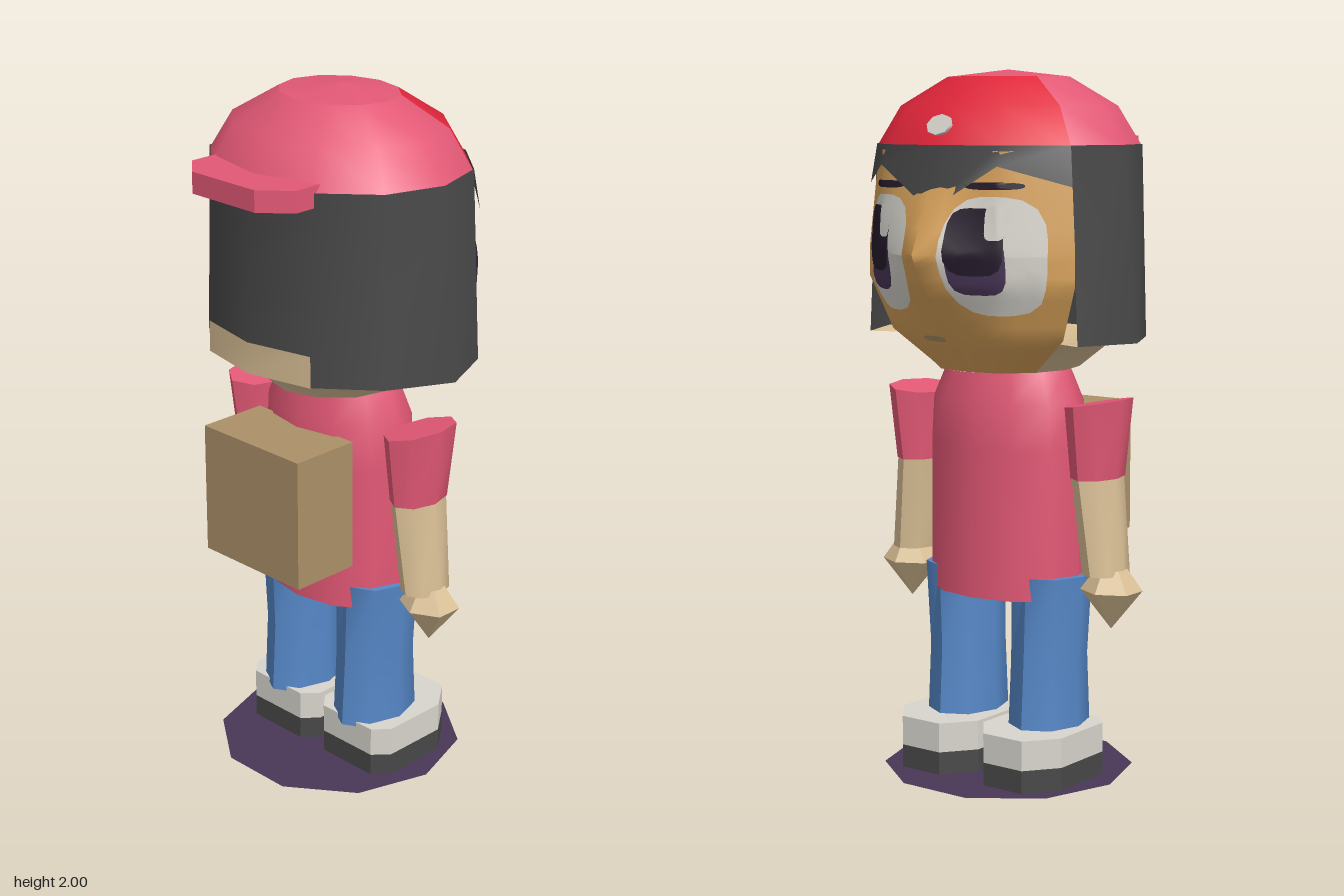
import * as THREE from 'three';
import { toCreasedNormals } from 'three/addons/utils/BufferGeometryUtils.js';

const mat = (name, color, side = THREE.FrontSide) => {
  const m = new THREE.MeshStandardMaterial({ color, side });
  m.name = name;
  return m;
};

// Skin over rows of points, bottom to top, columns anticlockwise seen from above
function loft(rows, closed = true, crease = 0.9) {
  const n = rows[0].length, index = [];
  for (let i = 0; i < rows.length - 1; i++) {
    for (let j = 0; j < (closed ? n : n - 1); j++) {
      const k = (j + 1) % n, a = i * n, b = a + n;
      index.push(a + j, a + k, b + k, a + j, b + k, b + j);
    }
  }
  const g = new THREE.BufferGeometry();
  g.setAttribute('position', new THREE.Float32BufferAttribute(rows.flat(2), 3));
  g.setIndex(index);
  return toCreasedNormals(g, crease);
}

const ring = (y, rx, rz, cx = 0, n = 12, cz = 0) =>
  Array.from({ length: n }, (_, i) => {
    const a = (i / n) * Math.PI * 2;
    return [cx + rx * Math.sin(a), y, cz + rz * Math.cos(a)];
  });

// Outline in x,z extruded upwards from y
function slab(points, y, height) {
  const shape = new THREE.Shape(points.map(([x, z]) => new THREE.Vector2(x, -z)));
  const g = new THREE.ExtrudeGeometry(shape, { depth: height, bevelEnabled: false });
  return g.rotateX(-Math.PI / 2).translate(0, y, 0);
}

// Face cross-sections: y, then [x, z] at nose line, cheek and temple
const FACE = [
  [1.17, [0, -0.2], [0.1, -0.18], [0.175, -0.105]],
  [1.27, [0, -0.28], [0.17, -0.25], [0.3, -0.15]],
  [1.42, [0, -0.392], [0.21, -0.3], [0.36, -0.18]],
  [1.505, [0, -0.428], [0.21, -0.31], [0.36, -0.18]],
  [1.78, [0, -0.3], [0.2, -0.3], [0.335, -0.165]],
];
const mix = THREE.MathUtils.lerp;
function faceColumns(y) {
  let i = 0;
  while (i < FACE.length - 2 && y > FACE[i + 1][0]) i++;
  const t = (y - FACE[i][0]) / (FACE[i + 1][0] - FACE[i][0]);
  return [1, 2, 3].map((c) => [0, 1].map((k) => mix(FACE[i][c][k], FACE[i + 1][c][k], t)));
}
function faceZ(x, y) {
  const c = faceColumns(y), ax = Math.abs(x), s = ax < c[1][0] ? 0 : 1;
  return mix(c[s][1], c[s + 1][1], (ax - c[s][0]) / (c[s + 1][0] - c[s][0]));
}
// Rounded patch lying on the face; power > 2 makes it squarer
function facePatch(cx, cy, rx, ry, lift, power = 3) {
  const g = new THREE.RingGeometry(0.001, 1, 24, 8), p = g.attributes.position;
  for (let i = 0; i < p.count; i++) {
    const u = p.getX(i), v = p.getY(i), r = Math.hypot(u, v);
    const k = r / Math.pow(Math.abs(u) ** power + Math.abs(v) ** power, 1 / power);
    const x = cx - u * k * rx, y = cy + v * k * ry;
    p.setXYZ(i, x, y, faceZ(x, y) - lift);
  }
  g.computeVertexNormals();
  return g;
}

export function createModel() {
  const pink = mat('pink cloth', 0xe25875, THREE.DoubleSide);
  const red = mat('red cap panel', 0xe0263a);
  const dark = mat('dark hair', 0x484848, THREE.DoubleSide);
  const tan = mat('tan face', 0xd8a25a);
  const skin = mat('beige skin', 0xdac096, THREE.DoubleSide);
  const brown = mat('brown pack', 0xac9068);
  const white = mat('off white', 0xd8d5cd);
  const blue = mat('blue denim', 0x5688c8);
  const purple = mat('purple', 0x4a3658, THREE.DoubleSide);
  const black = mat('pupil black', 0x261c2c);

  const model = new THREE.Group();
  const add = (name, geometry, material) => {
    const m = new THREE.Mesh(geometry, material);
    m.name = name;
    model.add(m);
    return m;
  };

  // Ground disc
  add('groundDisc', new THREE.CircleGeometry(0.36, 10).rotateX(-Math.PI / 2).translate(0, 0.004, 0), purple);

  // Torso and backpack
  add('shirt', loft([ring(0.525, 0, 0), ring(0.525, 0.245, 0.172), ring(0.95, 0.243, 0.172),
    ring(1.08, 0.235, 0.168), ring(1.17, 0.195, 0.138), ring(1.17, 0, 0)]), pink);
  add('backpack', new THREE.BoxGeometry(0.375, 0.38, 0.21).translate(0, 0.86, 0.24), brown);

  for (const s of [1, -1]) {
    const side = s > 0 ? 'left' : 'right';
    // Legs and shoes
    add(side + 'Leg', loft([ring(0.14, 0, 0, s * 0.147, 8), ring(0.14, 0.105, 0.135, s * 0.147, 8),
      ring(0.35, 0.1, 0.123, s * 0.147, 8), ring(0.59, 0.11, 0.124, s * 0.155, 8),
      ring(0.59, 0, 0, s * 0.155, 8)]), blue);
    const foot = [[0.01, 0.07], [0.05, 0.115], [0.245, 0.115], [0.285, 0.07],
      [0.285, -0.13], [0.215, -0.222], [0.08, -0.222], [0.01, -0.13]].map(([x, z]) => [s * x, z]);
    add(side + 'Sole', slab(foot, 0, 0.07), dark);
    add(side + 'Shoe', slab(foot, 0.07, 0.085), white);

    // Sleeve with a tilted top, forearm, hand
    const top = ring(1.088, 0.077, 0.125, s * 0.315, 8);
    const cap = ring(1.088, 0, 0, s * 0.315, 8);
    top.forEach((p) => { p[1] += (s * p[0] - 0.315) * 0.16; });
    add(side + 'Sleeve', loft([ring(0.88, 0, 0, s * 0.312, 8),
      ring(0.88, 0.064, 0.096, s * 0.312, 8), top, cap]), pink);
    add(side + 'Forearm', loft([ring(0.61, 0, 0, s * 0.342, 8), ring(0.61, 0.06, 0.078, s * 0.342, 8),
      ring(0.885, 0.061, 0.094, s * 0.312, 8)]), skin);
    add(side + 'Hand', loft([ring(0.455, 0, 0, s * 0.36, 6), ring(0.565, 0.09, 0.08, s * 0.36, 6),
      ring(0.625, 0.045, 0.045, s * 0.36, 6), ring(0.625, 0, 0, s * 0.36, 6)], true, 0.3), skin);
  }

  // Hair: long sides and back, short pointed fringe
  const hairTop = (k) => [0.39 * Math.sin(k * Math.PI / 6), 1.795, 0.34 * Math.cos(k * Math.PI / 6)];
  const hem = [[0, 0.345], [0.2, 0.302], [0.35, 0.178], [0.44, 0], [0.365, -0.175]];
  const back = [-4, -3, -2, -1, 0, 1, 2, 3, 4];
  const hairHem = (k) => [Math.sign(k) * hem[Math.abs(k)][0], 1.26, hem[Math.abs(k)][1]];
  add('hair', loft([back.map(hairHem), back.map(hairTop)], false), dark);
  add('fringe', loft([
    [[0.352, 1.685, -0.182], [0.2, 1.74, -0.314], [0, 1.62, -0.352], [-0.2, 1.74, -0.314], [-0.352, 1.685, -0.182]],
    [4, 5, 6, 7, 8].map(hairTop)], false), dark);

  // Nape, jaw underside and neck
  const nape = [-1, 0, 1].map(hairHem);
  add('nape', loft([0, 0.09].map((h) => nape.map(([x, y, z]) => [x, y + h, z + 0.005])), false), skin);
  const around = (y, rx, rz) => back.map((k) => [rx * Math.sin(k * Math.PI / 6), y, rz * Math.cos(k * Math.PI / 6)]);
  add('jaw', loft([around(1.17, 0.2, 0.21), around(1.26, 0.32, 0.29), back.map(hairHem)], false), skin);
  add('neck', loft([ring(1.17, 0, 0), ring(1.17, 0.2, 0.205)]), skin);

  // Face
  const ys = [];
  for (let i = 0; i < FACE.length - 1; i++) {
    for (let t = 0; t < 4; t++) ys.push(mix(FACE[i][0], FACE[i + 1][0], t / 4));
  }
  ys.push(1.78);
  const faceRows = ys.map((y) => {
    const c = faceColumns(y), row = [];
    for (let u = -8; u <= 8; u++) {
      const a = Math.abs(u) / 4, i = Math.min(1, Math.floor(a));
      row.push([-Math.sign(u) * mix(c[i][0], c[i + 1][0], a - i), y, mix(c[i][1], c[i + 1][1], a - i)]);
    }
    return row;
  });
  add('face', loft(faceRows, false), tan);

  // Eyes (both look the same way), brows and mouth
  for (const [side, s] of [['left', 1], ['right', -1]]) {
    const x = s * 0.183;
    add(side + 'EyeWhite', facePatch(x, 1.5, 0.124, 0.16, 0.006), white);
    add(side + 'Iris', facePatch(x + 0.033, 1.475, 0.072, 0.078, 0.01, 4), purple);
    add(side + 'Pupil', facePatch(x + 0.035, 1.54, 0.072, 0.09, 0.014, 4), black);
    add(side + 'EyeGlint', facePatch(x - 0.017, 1.59, 0.024, 0.045, 0.018, 5), white);
    add(side + 'Brow', facePatch(s * 0.18, 1.688, 0.075, 0.01, 0.008, 3), black);
  }
  add('mouth', facePatch(0.045, 1.265, 0.045, 0.008, 0.006), brown);

  // Cap: dome, red front panel, badge and a peak worn at the back
  const dome = [[0.39, 1.79], [0.32, 1.9], [0.18, 1.98], [0, 2]].map(([r, y]) => new THREE.Vector2(r, y));
  const third = Math.PI * 2 / 3;
  const capPart = (name, pts, segs, start, length, material) =>
    add(name, new THREE.LatheGeometry(pts, segs, start, length).scale(1, 1, 0.86), material);
  capPart('capCrown', dome.slice(2), 12, 0, third * 3, pink);
  capPart('capBack', dome.slice(0, 3), 8, 2 * third, 2 * third, pink);
  capPart('capFrontPanel', dome.slice(0, 3), 4, third, third, red);
  const badge = add('capBadge', new THREE.CylinderGeometry(0.042, 0.042, 0.008, 8), white);
  badge.scale.z = 0.75;
  badge.rotation.x = -1.08;
  badge.position.set(0, 1.848, -0.306);
  add('capPeak', slab([[-0.2, 0.26], [-0.2, 0.355], [-0.12, 0.425], [0.12, 0.425],
    [0.2, 0.355], [0.2, 0.26]], 1.755, 0.06), pink);

  return model;
}
